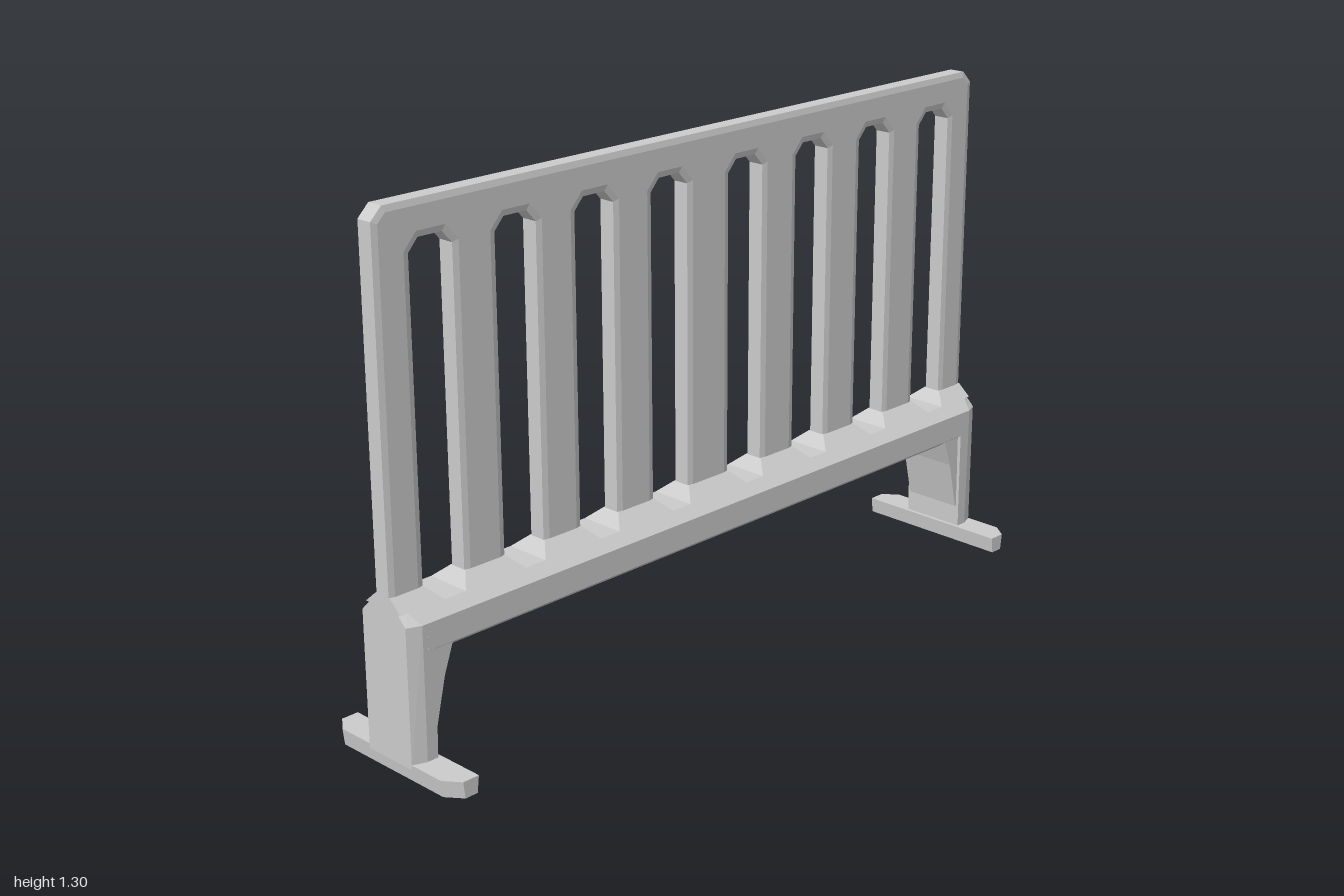
import * as THREE from 'three';

const material = new THREE.MeshStandardMaterial({ color: 0xcccccc, flatShading: true });
const SLOTS = [-0.85, -0.61, -0.37, -0.13, 0.13, 0.37, 0.606, 0.845];

function mesh(name, geometry, parent) {
  const m = new THREE.Mesh(geometry, material);
  m.name = name;
  parent.add(m);
  return m;
}

// Rings of [x, y, z], bottom to top, each running counter-clockwise from above.
function loft(rings) {
  const n = rings[0].length, top = (rings.length - 1) * n, index = [];
  for (let r = 0; r < rings.length - 1; r++) {
    for (let i = 0; i < n; i++) {
      const a = r * n + i, b = r * n + (i + 1) % n;
      index.push(a, b, b + n, a, b + n, a + n);
    }
  }
  for (let i = 1; i < n - 1; i++) {
    index.push(0, i + 1, i, top, top + i, top + i + 1);
  }
  const g = new THREE.BufferGeometry();
  g.setAttribute('position', new THREE.Float32BufferAttribute(rings.flat(2), 3));
  g.setIndex(index);
  const flat = g.toNonIndexed();
  flat.computeVertexNormals();
  return flat;
}

const rect = (y, hx, z0, z1) => [[hx, y, z1], [hx, y, z0], [-hx, y, z0], [-hx, y, z1]];

// Rectangle with its two +z corners cut by cx and cz.
const cutRect = (y, hx, z0, z1, cx, cz) => [
  [hx - cx, y, z1], [hx, y, z1 - cz], [hx, y, z0],
  [-hx, y, z0], [-hx, y, z1 - cz], [-hx + cx, y, z1]];

// Rectangle centred on the origin with all four corners cut.
const cutBoth = (y, hx, hz, cx, cz) => [
  [hx - cx, y, hz], [hx, y, hz - cz], [hx, y, -hz + cz], [hx - cx, y, -hz],
  [-hx + cx, y, -hz], [-hx, y, -hz + cz], [-hx, y, hz - cz], [-hx + cx, y, hz]];

// Extrudes a [z, y] outline across x.
function acrossX(points, width, bevel = 0, inset = 0) {
  const shape = new THREE.Shape(points.map(p => new THREE.Vector2(...p)));
  const g = new THREE.ExtrudeGeometry(shape, {
    depth: width - 2 * bevel, bevelEnabled: bevel > 0,
    bevelThickness: bevel, bevelSize: inset, bevelOffset: -inset, bevelSegments: 1
  });
  g.translate(0, 0, -width / 2 + bevel);
  return g.rotateY(-Math.PI / 2);
}

export function createModel() {
  const group = new THREE.Group();
  group.name = 'barrier';

  // Slatted panel: one comb-shaped outline with chamfered slot tops
  const outline = [[-1, 0.41]];
  for (const z of SLOTS) {
    outline.push([z - 0.06, 0.41], [z - 0.06, 1.19], [z - 0.033, 1.22],
      [z + 0.033, 1.22], [z + 0.06, 1.19], [z + 0.06, 0.41]);
  }
  outline.push([1, 0.41], [1, 1.275], [0.97, 1.305], [-0.97, 1.305], [-1, 1.275]);
  mesh('slattedPanel', acrossX(outline, 0.05, 0.004, 0.015), group);

  // Lower beam and its sloping roof
  mesh('lowerBeam', loft([
    rect(0.285, 0.055, -0.95, 0.95), rect(0.31, 0.09, -0.95, 0.95),
    rect(0.375, 0.09, -0.95, 0.95)]), group);
  mesh('beamRoof', loft([
    cutBoth(0.375, 0.09, 1, 0.015, 0.035), cutBoth(0.4, 0.06, 1, 0.01, 0.02)]), group);

  // Ridge blocks between the slots, sloping in towards each bar
  const edges = [null, ...SLOTS, null];
  for (let i = 0; i < edges.length - 1; i++) {
    const low = edges[i], high = edges[i + 1];
    const side = d => [low === null ? -1 : low + d, high === null ? 1 : high - d];
    mesh('ridgeBlock', loft([
      rect(0.4, 0.06, ...side(0.03)), rect(0.43, 0.025, ...side(0.06))]), group);
  }

  // Legs with braces and feet, one at each end
  for (const turn of [0, Math.PI]) {
    const leg = new THREE.Group();
    leg.name = turn ? 'backLeg' : 'frontLeg';
    leg.rotation.y = turn;
    group.add(leg);
    mesh('upright', loft([
      cutRect(0.03, 0.088, 0.935, 1, 0.013, 0.035),
      cutRect(0.375, 0.09, 0.93, 1, 0.015, 0.035)]), leg);
    mesh('brace', acrossX([
      [0.94, 0.1], [0.94, 0.33], [0.87, 0.33], [0.875, 0.3], [0.9, 0.23], [0.93, 0.1]], 0.16), leg);
    mesh('foot', loft([
      cutRect(0, 0.215, 0.93, 0.995, 0.04, 0.03),
      cutRect(0.042, 0.215, 0.925, 1, 0.04, 0.03)]), leg);
  }
  return group;
}
